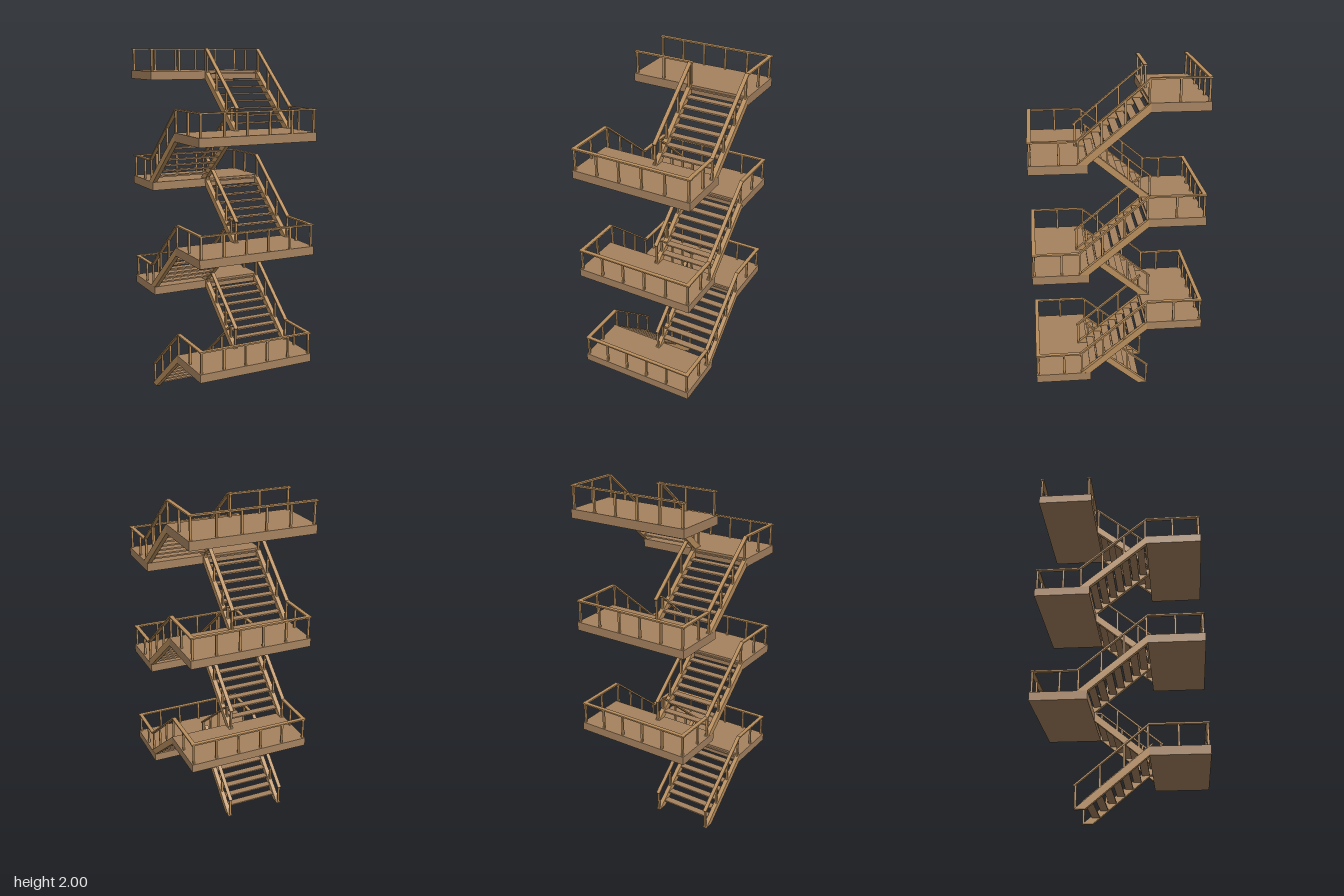
import * as THREE from 'three';

const RISE = 0.3125, RUN = 0.377;      // one flight
const EDGE = 0.16, OUT = 0.47;         // landing inner and outer z
const HALF = 0.345, SIDE = 0.332;      // landing half width, railing line
const RAIL_H = 0.125, RAIL_W = 0.022, RAIL_T = 0.008, POST = 0.011;
const SLOPE = RISE / RUN, FOOT = EDGE - RUN;

const deckMat = new THREE.MeshStandardMaterial({ color: 0xa5825f });
const frameMat = new THREE.MeshStandardMaterial({ color: 0xb78d5c });

function box(parent, name, size, pos, mat = frameMat) {
  const mesh = new THREE.Mesh(new THREE.BoxGeometry(...size), mat);
  mesh.name = name;
  mesh.position.set(...pos);
  parent.add(mesh);
  return mesh;
}

function post(parent, x, base, z) {
  box(parent, 'post', [POST, RAIL_H, POST], [x, base + RAIL_H / 2 - RAIL_T / 2, z]);
}

// Level handrail along x or z with its top at railing height
function rail(parent, x0, x1, z0, z1) {
  const alongX = z0 === z1;
  box(parent, 'handrail',
    [alongX ? x1 - x0 : RAIL_W, RAIL_T, alongX ? RAIL_W : z1 - z0],
    [(x0 + x1) / 2, RISE + RAIL_H - RAIL_T / 2, (z0 + z1) / 2]);
}

// Sloping side beam, cut level at the foot and upright at the landing
function stringer(parent, x) {
  const s = new THREE.Shape();
  s.moveTo(FOOT, 0);
  s.lineTo(-EDGE, 0);
  s.lineTo(EDGE, 0.265);
  s.lineTo(EDGE, RISE);
  const width = 0.025;
  const geo = new THREE.ExtrudeGeometry(s, { depth: width, bevelEnabled: false });
  geo.translate(0, 0, -width / 2).rotateY(-Math.PI / 2);
  const mesh = new THREE.Mesh(geo, frameMat);
  mesh.name = 'stringer';
  mesh.position.x = x;
  parent.add(mesh);
}

// Flight on the -x half, climbing towards +z
function createFlight() {
  const g = new THREE.Group();
  g.name = 'stairFlight';
  for (const x of [-SIDE, 0]) {
    stringer(g, x);
    const slopeRail = box(g, 'slopingHandrail', [RAIL_W, RAIL_T, Math.hypot(RISE, RUN) + 0.008],
      [x, RISE / 2 + RAIL_H - RAIL_T / 2, (EDGE + FOOT) / 2]);
    slopeRail.rotation.x = -Math.atan(SLOPE);
    for (let i = 0; i < 4; i++) {
      const z = FOOT + 0.007 + i * (RUN - 0.014) / 3;
      post(g, x, (z - FOOT) * SLOPE, z);
    }
  }
  // Open treads between the stringers
  for (let i = 0; i < 8; i++) {
    box(g, 'tread', [SIDE - 0.02, 0.008, 0.042],
      [-SIDE / 2, 0.036 + i * 0.0372, -0.143 + i * 0.0446], deckMat);
  }
  return g;
}

// Landing at the head of a flight; the last one has an open end
function createLanding(isTop) {
  const g = new THREE.Group();
  g.name = 'landing';
  box(g, 'deck', [HALF * 2, 0.048, OUT - EDGE], [0, RISE - 0.024, (OUT + EDGE) / 2], deckMat);

  // Long outer railing
  const zOut = OUT - 0.012;
  rail(g, -HALF, HALF, zOut, zOut);
  for (let i = 0; i < 6; i++) post(g, -SIDE + i * SIDE * 2 / 5, RISE, zOut);

  // End railings
  rail(g, -SIDE, -SIDE, EDGE, zOut);
  post(g, -SIDE, RISE, 0.31);
  if (!isTop) {
    rail(g, SIDE, SIDE, -FOOT, zOut);
    post(g, SIDE, RISE, 0.31);
  } else {
    // Guard rail where no further flight leaves
    rail(g, -0.011, HALF, 0.176, 0.176);
    for (const x of [0, SIDE / 2, SIDE]) post(g, x, RISE, 0.176);
  }
  return g;
}

export function createModel() {
  const model = new THREE.Group();
  model.name = 'switchbackStaircase';
  // Each storey is the one below turned half round
  for (let i = 0; i < 6; i++) {
    const storey = new THREE.Group();
    storey.name = 'storey';
    storey.add(createFlight(), createLanding(i === 5));
    storey.position.y = i * RISE;
    storey.rotation.y = i % 2 ? Math.PI : 0;
    model.add(storey);
  }
  return model;
}
